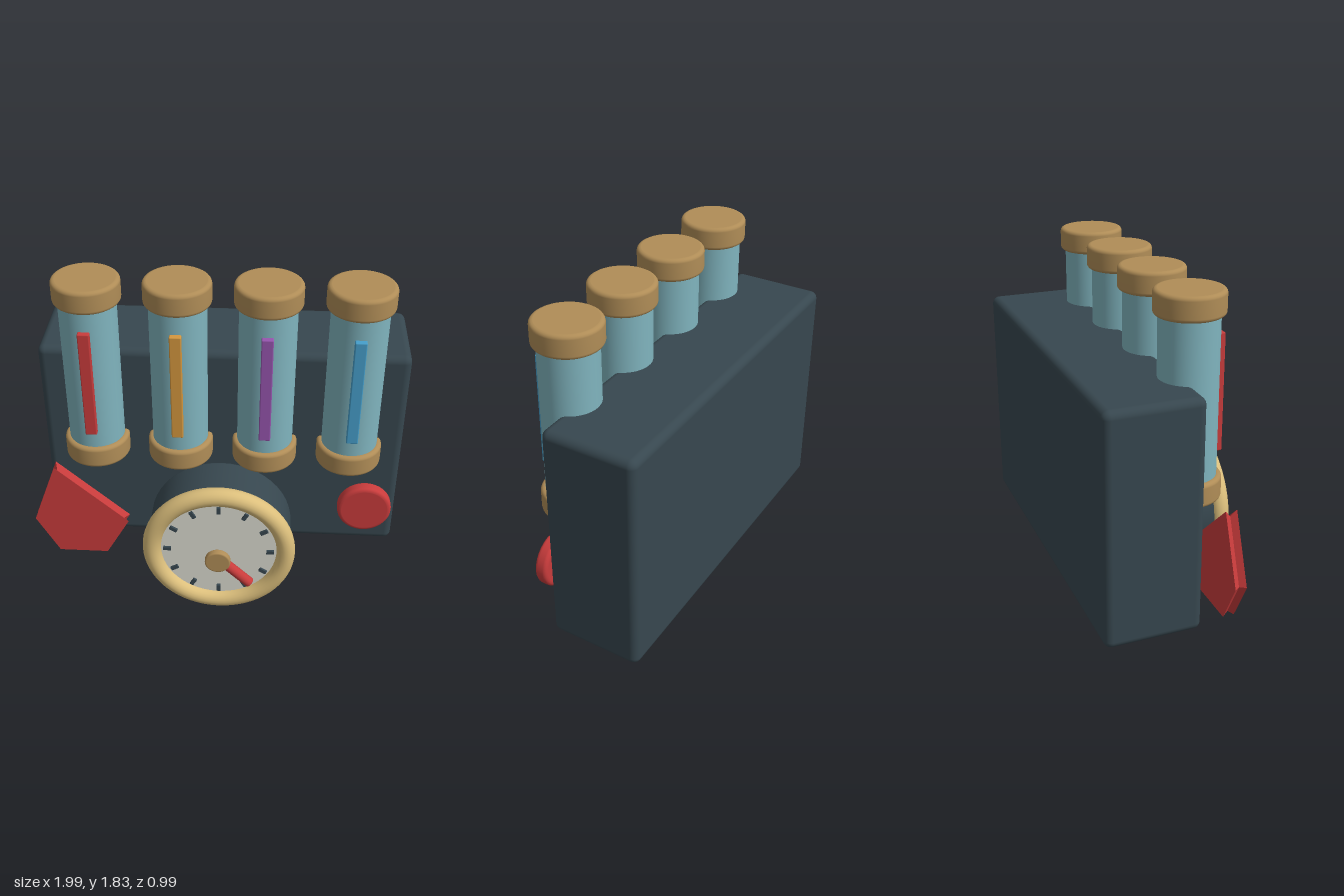
import * as THREE from 'three';
import { RoundedBoxGeometry } from 'three/addons/geometries/RoundedBoxGeometry.js';

const mat = (name, color) => {
  const m = new THREE.MeshStandardMaterial({ color });
  m.name = name;
  return m;
};

// Solid disc with rounded rims, standing on y = 0
function roundedDisc(r, h, b, segments = 48) {
  const pts = [new THREE.Vector2(0, 0), new THREE.Vector2(r - b - 0.002, 0)];
  for (let i = 0; i <= 4; i++) {
    const a = (i / 4) * Math.PI / 2;
    pts.push(new THREE.Vector2(r - b + Math.sin(a) * b, b - Math.cos(a) * b));
  }
  for (let i = 0; i <= 4; i++) {
    const a = (i / 4) * Math.PI / 2;
    pts.push(new THREE.Vector2(r - b + Math.cos(a) * b, h - b + Math.sin(a) * b));
  }
  pts.push(new THREE.Vector2(r - b - 0.002, h), new THREE.Vector2(0, h));
  return new THREE.LatheGeometry(pts, segments);
}

// The same disc facing the front, its back on z = 0
const frontDisc = (r, h, b) => roundedDisc(r, h, b).rotateX(Math.PI / 2);

// Flat-sided plate whose edge is pinched into a groove halfway through
function groovedPlate(outline, depth, inset) {
  const n = outline.length;
  const cx = outline.reduce((s, p) => s + p[0], 0) / n;
  const cy = outline.reduce((s, p) => s + p[1], 0) / n;
  const ring = (k, z) => outline.map(([x, y]) => [cx + (x - cx) * k, cy + (y - cy) * k, z]);
  const rings = [ring(1, 0), ring(1 - inset, depth / 2), ring(1, depth)];
  const pos = [];
  const tri = (...ps) => ps.forEach((p) => pos.push(...p));
  for (let i = 0; i < n; i++) {
    const j = (i + 1) % n;
    for (let k = 0; k < 2; k++) {
      const a = rings[k], b = rings[k + 1];
      tri(a[i], a[j], b[j]);
      tri(a[i], b[j], b[i]);
    }
    tri([cx, cy, depth], rings[2][i], rings[2][j]);
    tri([cx, cy, 0], rings[0][j], rings[0][i]);
  }
  const g = new THREE.BufferGeometry();
  g.setAttribute('position', new THREE.Float32BufferAttribute(pos, 3));
  g.computeVertexNormals();
  return g;
}

export function createModel() {
  const model = new THREE.Group();
  model.name = 'gaugePanel';

  const slate = mat('slate', 0x37474f);
  const glass = mat('tubeTeal', 0x80b4be);
  const bronze = mat('bronze', 0xb08d57);
  const brass = mat('brass', 0xdcbf7c);
  const cream = mat('dialCream', 0xdcdbd0);
  const red = mat('red', 0xc93c3c);
  const orange = mat('orange', 0xd4973f);
  const purple = mat('purple', 0x9655ae);
  const blue = mat('blue', 0x469fcb);

  const add = (parent, name, geo, material, x = 0, y = 0, z = 0) => {
    const m = new THREE.Mesh(geo, material);
    m.name = name;
    m.position.set(x, y, z);
    parent.add(m);
    return m;
  };

  // Housing
  add(model, 'housing', new RoundedBoxGeometry(1.93, 1.22, 0.5, 4, 0.04), slate, 0.03, 0.8, -0.245);

  // Four capped tubes, each with a coloured level strip
  const cap = roundedDisc(0.172, 0.123, 0.02);
  const tube = new THREE.CylinderGeometry(0.147, 0.147, 0.9, 48, 1, true);
  const strip = new RoundedBoxGeometry(0.06, 0.6, 0.035, 2, 0.006);
  [red, orange, purple, blue].forEach((colour, i) => {
    const g = new THREE.Group();
    g.name = 'tube' + (i + 1);
    g.position.set(-0.645 + i * 0.45, 0, 0.032);
    add(g, 'tubeBody', tube, glass, 0, 1.31, 0);
    add(g, 'bottomCap', cap, bronze, 0, 0.79, 0);
    add(g, 'topCap', cap, bronze, 0, 1.712, 0);
    add(g, 'levelStrip', strip, colour, 0, 1.31, 0.157);
    model.add(g);
  });

  // Dial: drum, bezel, face, ticks, needle and hub
  const dial = new THREE.Group();
  dial.name = 'dial';
  dial.position.set(0.03, 0.413, 0);
  add(dial, 'drum', frontDisc(0.385, 0.25, 0.02), slate, 0, 0, 0.115);
  add(dial, 'bezel', new THREE.TorusGeometry(0.36, 0.05, 20, 64), brass, 0, 0, 0.385);
  add(dial, 'dialFace', frontDisc(0.335, 0.03, 0.004), cream, 0, 0, 0.36);
  const tickGeo = new THREE.BoxGeometry(0.02, 0.042, 0.018);
  for (let i = 0; i < 12; i++) {
    const a = (i / 12) * Math.PI * 2;
    const t = add(dial, 'tick' + (i + 1), tickGeo, slate, -Math.sin(a) * 0.277, Math.cos(a) * 0.277, 0.394);
    t.rotation.z = a;
  }
  const needle = add(dial, 'needle', roundedDisc(0.028, 0.245, 0.008, 20), red, 0, 0, 0.456);
  needle.rotation.z = -Math.PI * 0.75;
  add(dial, 'hub', frontDisc(0.068, 0.036, 0.008), bronze, 0, 0, 0.462);
  model.add(dial);

  // Round push button
  add(model, 'pushButton', frontDisc(0.147, 0.07, 0.02), red, 0.815, 0.502, 0.056);

  // Five-sided plate with a grooved edge
  const outline = [[-0.865, 0.78], [-1, 0.42], [-0.88, 0.195], [-0.61, 0.195], [-0.48, 0.425]];
  add(model, 'fiveSidedPlate', groovedPlate(outline, 0.06, 0.1), red, 0, 0, 0.145);

  return model;
}
